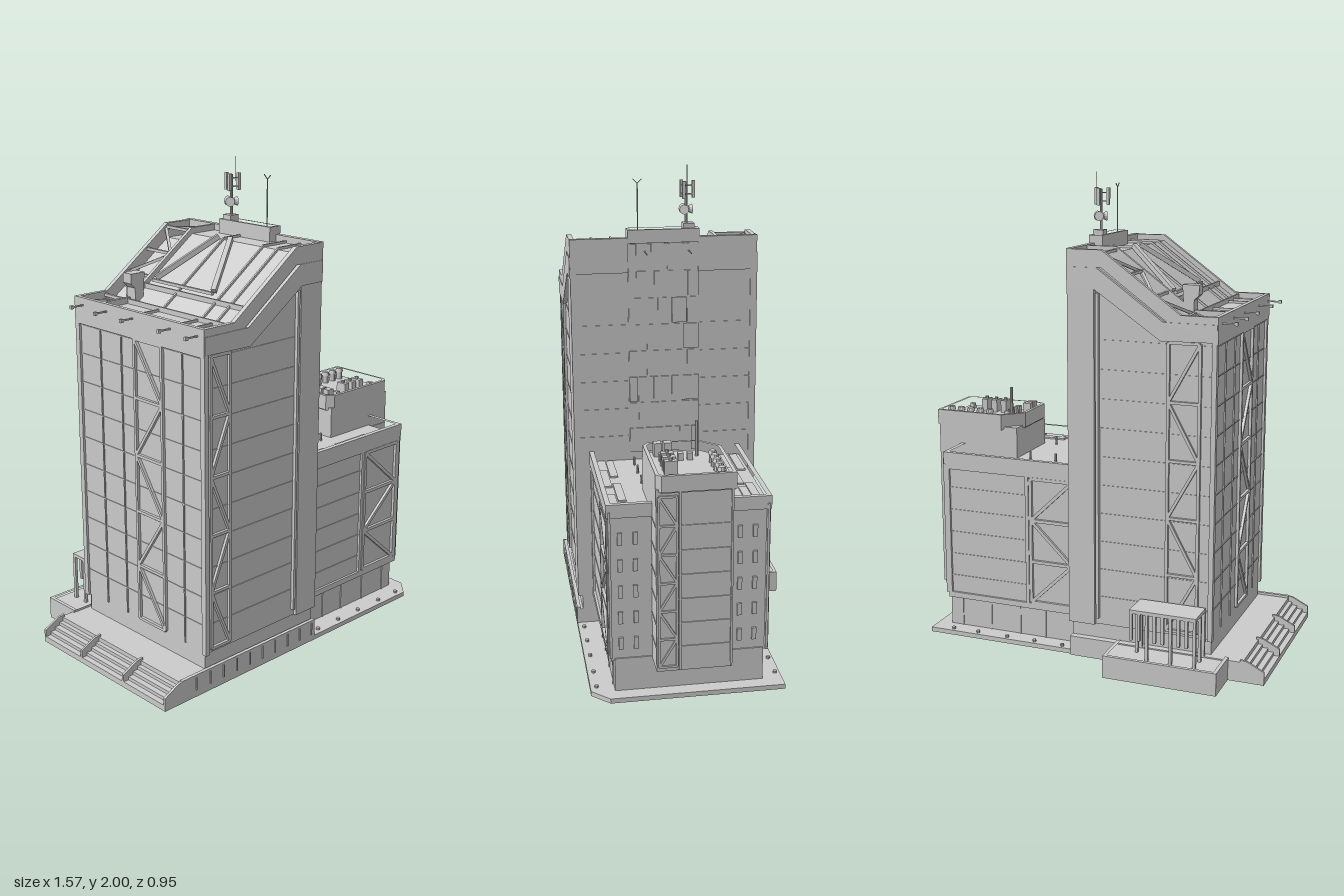
import * as THREE from 'three';

const mat = new THREE.MeshStandardMaterial({ color: 0xcccccc, flatShading: true });

export function createModel() {
  const model = new THREE.Group();
  let part = model;
  const begin = (name) => { part = new THREE.Group(); part.name = name; model.add(part); };
  const add = (name, geo) => {
    const m = new THREE.Mesh(geo, mat);
    m.name = name;
    part.add(m);
    return m;
  };
  // box given by its extents
  const box = (name, x0, x1, y0, y1, z0, z1) =>
    add(name, new THREE.BoxGeometry(x1 - x0, y1 - y0, z1 - z0))
      .position.set((x0 + x1) / 2, (y0 + y1) / 2, (z0 + z1) / 2);
  // square bar between two points
  const bar = (name, a, b, t = 0.01) => {
    const p = new THREE.Vector3(...a), q = new THREE.Vector3(...b);
    const m = add(name, new THREE.BoxGeometry(t, t, p.distanceTo(q)));
    m.position.copy(p).add(q).multiplyScalar(0.5);
    m.lookAt(q);
  };
  const cyl = (name, x, y0, y1, z, r, r2 = r, n = 8) =>
    add(name, new THREE.CylinderGeometry(r2, r, y1 - y0, n)).position.set(x, (y0 + y1) / 2, z);
  // front-view polygon extruded from z0 to z1
  const slab = (name, pts, z0, z1) =>
    add(name, new THREE.ExtrudeGeometry(new THREE.Shape(pts.map((p) => new THREE.Vector2(...p))),
      { depth: z1 - z0, bevelEnabled: false })).position.z = z0;
  // plan polygon (x, z) extruded from y0 to y1, with optional hole
  const plan = (name, pts, y0, y1, hole) => {
    const vec = (l) => l.map(([x, z]) => new THREE.Vector2(x, -z));
    const s = new THREE.Shape(vec(pts));
    if (hole) s.holes.push(new THREE.Path(vec(hole)));
    const g = new THREE.ExtrudeGeometry(s, { depth: y1 - y0, bevelEnabled: false });
    add(name, g.rotateX(-Math.PI / 2)).position.y = y0;
  };
  const rect = (x0, x1, z0, z1) => [[x0, z0], [x1, z0], [x1, z1], [x0, z1]];
  // zigzag truss: at(u, y) maps width and height to a point
  const truss = (name, at, u0, u1, y0, y1, n, t = 0.012) => {
    const h = (y1 - y0) / n;
    for (const u of [u0, u1]) bar(name, at(u, y0), at(u, y1), t);
    for (let i = 0; i <= n; i++) {
      const y = y0 + i * h;
      bar(name, at(u0, y), at(u1, y), t);
      if (i < n) bar(name, at(i % 2 ? u1 : u0, y + h), at(i % 2 ? u0 : u1, y), t);
    }
  };

  // ground plate, terrace, steps and rear annex
  begin('base');
  plan('groundPlate', [[-0.7, -0.3], [0.72, -0.3], [0.72, 0.4], [0.65, 0.47], [-0.7, 0.47]], 0, 0.02);
  box('terrace', -0.7, 0.05, 0, 0.085, -0.31, 0.47);
  box('terraceCurb', -0.7, 0.05, 0.085, 0.095, 0.455, 0.47);
  for (let i = 0; i < 4; i++) box('step', -0.79 + i * 0.024, -0.69, 0, 0.025 + i * 0.014, -0.3, 0.46);
  for (const z of [-0.31, -0.06, 0.21, 0.46])
    slab('stepCheek', [[-0.79, 0], [-0.69, 0], [-0.69, 0.095], [-0.72, 0.09], [-0.79, 0.055]], z, z + 0.01);
  box('annexDeck', -0.64, -0.16, 0, 0.08, -0.475, -0.3);
  plan('annexCurb', rect(-0.64, -0.16, -0.475, -0.3), 0.08, 0.095, rect(-0.625, -0.175, -0.46, -0.3));
  for (let x = -0.63; x < 0.04; x += 0.073) box('terraceRib', x, x + 0.005, 0.03, 0.085, 0.47, 0.474);
  for (const x of [0.1, 0.23, 0.36, 0.5, 0.62]) for (const z of [-0.28, 0.445]) cyl('groundLight', x, 0.02, 0.03, z, 0.008);

  // entrance shelter behind the tower
  begin('shelter');
  box('shelterRoof', -0.54, -0.26, 0.275, 0.29, -0.43, -0.3);
  for (let i = 0; i < 9; i++) {
    const x = -0.54 + i * 0.0335;
    box('shelterFin', x, x + 0.012, i % 3 ? 0.16 : 0.08, 0.275, -0.43, -0.415);
  }
  for (const x of [-0.54, -0.272]) for (const z of [-0.36, -0.31]) box('shelterPost', x, x + 0.012, 0.08, 0.275, z, z + 0.012);

  // recessed podium
  begin('podium');
  box('towerPodium', -0.56, 0.05, 0.08, 0.16, -0.28, 0.445);
  box('wingPodium', 0.04, 0.66, 0.02, 0.16, -0.22, 0.375);
  for (const x of [0.2, 0.32, 0.46, 0.6]) for (const z of [-0.224, 0.374]) box('podiumRib', x, x + 0.006, 0.02, 0.15, z, z + 0.005);

  // tower body with sloping top
  begin('tower');
  const profile = [[-0.57, 1.47], [-0.42, 1.47], [-0.09, 1.71], [0.055, 1.71]];
  const lowered = (d) => profile.map(([x, y]) => [x, y - d]);
  const roofY = (x) => 1.47 + 0.24 * Math.min(1, Math.max(0, (x + 0.42) / 0.33));
  const body = (d) => [[-0.56, 0.15], [0.05, 0.15], [0.05, 1.71 - d], ...lowered(d).slice(1, 3).reverse(), [-0.56, 1.47 - d]];
  slab('mainBody', body(0.025), -0.14, 0.45);
  slab('rearBody', body(0.06), -0.29, -0.14);
  const strip = (a, b) => [...lowered(b), ...lowered(a).reverse()];
  for (const [z0, z1] of [[0.445, 0.465], [-0.305, -0.285], [-0.145, -0.13]])
    slab('roofParapet', strip(0, 0.07), z0, z1);
  for (const [z0, z1] of [[0.44, 0.468], [-0.308, -0.28]]) {
    slab('fasciaBand', [[-0.57, 1.37], [-0.34, 1.365], [-0.06, 1.555], [0.055, 1.555],
      [0.055, 1.64], [-0.07, 1.64], [-0.35, 1.44], [-0.57, 1.44]], z0, z1);
    box('cornerPier', -0.06, 0.055, 0.15, 1.57, z0, z1 - (z0 > 0 ? 0.004 : 0));
    box('pierFin', -0.078, -0.066, 0.18, 1.54, z0, z1 - 0.004);
    box('edgePost', -0.57, -0.55, 0.15, 1.4, z0, z1 - 0.004);
  }
  box('leftParapet', -0.573, -0.555, 1.36, 1.47, -0.305, 0.465);
  for (const [z0, z1] of [[-0.305, -0.06], [0.23, 0.465]]) box('rightParapet', 0.035, 0.058, 1.57, 1.712, z0, z1);
  // floor and panel joints
  for (let i = 0; i < 10; i++) {
    const y = 0.27 + i * 0.12;
    const x1 = Math.min(-0.08, 0.04);
    box('floorJointFront', -0.55, x1, y, y + 0.004, 0.45, 0.453);
    box('floorJointRear', -0.55, x1, y, y + 0.004, -0.293, -0.29);
    box('floorJointLeft', -0.563, -0.56, y, y + 0.004, -0.28, 0.44);
    if (y > 0.8) for (const [z0, z1] of [[-0.28, -0.07], [0.235, 0.44]]) box('floorJointRight', 0.05, 0.053, y, y + 0.004, z0, z1);
  }
  for (const z of [-0.16, -0.03, 0.33]) box('sideMullion', -0.565, -0.56, 0.16, 1.37, z, z + 0.006);

  // exposed bracing on the tower faces
  begin('towerBracing');
  truss('frontBrace', (u, y) => [u, y, 0.456], -0.535, -0.435, 0.17, 1.36, 5);
  truss('rearBrace', (u, y) => [u, y, -0.296], -0.5, -0.37, 0.17, 1.36, 5);
  truss('leftBrace', (u, y) => [-0.566, y, u], 0.06, 0.22, 0.17, 1.36, 5);

  // stone-panelled core on the right face
  begin('panelCore');
  box('coreBack', 0, 0.052, 0.8, 1.7, -0.065, 0.23);
  plan('coreCap', rect(0, 0.06, -0.065, 0.23), 1.69, 1.745, rect(0.012, 0.048, -0.053, 0.218));
  let seed = 7;
  const rnd = () => (seed = (seed * 16807) % 2147483647) / 2147483647;
  for (let r = 0; r < 8; r++) {
    const y = 0.8 + r * 0.1115;
    for (let z = -0.065; z < 0.225;) {
      let end = z + 0.035 + rnd() * 0.045;
      if (end > 0.2) end = 0.23;
      box('stonePanel', 0.05, 0.054 + rnd() * 0.005, y, y + 0.106, z + 0.002, end - 0.002);
      z = end;
    }
  }

  // roof bracing and roof details
  begin('towerRoof');
  const onRoof = (x, z, d = 0) => [x, roofY(x) - d, z];
  const bays = [-0.56, -0.43, -0.31, -0.2, -0.09, 0.045];
  bays.forEach((x, i) => {
    bar('roofStrut', onRoof(x, -0.295, 0.015), onRoof(x, -0.14, 0.015), 0.012);
    if (i < 5) {
      const e = bays[i + 1], f = i % 2;
      bar('roofDiagonal', onRoof(x, f ? -0.14 : -0.295, 0.02), onRoof(e, f ? -0.295 : -0.14, 0.02), 0.012);
    }
  });
  for (const z of [0.055, 0.28, 0.36]) slab('roofSeam', strip(0.015, 0.03), z, z + 0.008);
  for (const x of [-0.44, -0.35]) box('roofSeam', x, x + 0.008, roofY(x) - 0.03, roofY(x) - 0.005, -0.13, 0.445);
  for (const s of [-1, 1]) bar('roofTruss', onRoof(-0.32, 0.075 + s * 0.17, 0.005), onRoof(-0.1, 0.075 + s * 0.035, 0.005), 0.02);
  bar('roofTruss', onRoof(-0.33, -0.1, 0.005), onRoof(-0.33, 0.25, 0.005), 0.012);
  slab('ventHood', [[-0.425, 1.44], [-0.385, 1.44], [-0.375, 1.57], [-0.445, 1.57], [-0.445, 1.53], [-0.425, 1.51]], -0.15, -0.1);
  for (const z of [-0.25, -0.1, 0.06, 0.28, 0.43]) {
    bar('leftRod', [-0.56, 1.44, z], [-0.63, 1.44, z], 0.006);
    box('leftRodTip', -0.635, -0.622, 1.433, 1.447, z - 0.006, z + 0.006);
  }
  for (const z of [-0.02, 0.16]) bar('rightRod', [0.05, 1.655, z], [0.125, 1.655, z], 0.004);

  // antenna mast and whip
  begin('antenna');
  box('mastFoot', 0.005, 0.05, 1.7, 1.765, -0.045, 0);
  cyl('mast', 0.025, 1.75, 1.93, -0.015, 0.006);
  for (let i = 0; i < 3; i++) {
    const a = i * Math.PI * 2 / 3 + 0.5, x = 0.025 + Math.cos(a) * 0.03, z = -0.015 + Math.sin(a) * 0.03;
    box('antennaPanel', x - 0.006, x + 0.006, 1.865, 1.935, z - 0.006, z + 0.006);
    for (const y of [1.88, 1.915]) bar('antennaArm', [0.025, y, -0.015], [x, y, z], 0.005);
    const d = add('dish', new THREE.CylinderGeometry(0.02, 0.014, 0.014, 12).rotateX(Math.PI / 2));
    d.position.set(0.025 + Math.cos(a) * 0.017, 1.82, -0.015 + Math.sin(a) * 0.017);
    d.rotation.y = Math.PI / 2 - a;
  }
  cyl('mastTip', 0.045, 1.9, 2, -0.015, 0.0015);
  cyl('whip', 0.03, 1.73, 1.93, 0.185, 0.0025);
  for (const s of [-1, 1]) bar('whipFork', [0.03, 1.928, 0.185], [0.03, 1.945, 0.185 + s * 0.018], 0.003);

  // low wing
  begin('wing');
  box('wingBody', 0.05, 0.655, 0.15, 0.765, -0.23, 0.39);
  plan('wingParapet', rect(0.05, 0.67, -0.242, 0.402), 0.755, 0.81, rect(0.05, 0.65, -0.222, 0.382));
  for (const s of [0, 1]) {
    const z0 = s ? 0.388 : -0.24, z1 = s ? 0.4 : -0.228;
    box('wallFrame', 0.055, 0.66, 0.15, 0.175, z0, z1);
    box('wallFrame', 0.055, 0.66, 0.735, 0.765, z0, z1);
    for (const x of s ? [0.055, 0.41, 0.65] : [0.27, 0.645]) box('wallFrame', x, x + 0.015, 0.15, 0.76, z0, z1);
    for (let i = 1; i < 6; i++) box('wallJoint', s ? 0.06 : 0.27, s ? 0.41 : 0.65, 0.15 + i * 0.1, 0.154 + i * 0.1, s ? 0.39 : -0.233, s ? 0.393 : -0.23);
  }
  truss('frontBrace', (u, y) => [u, y, 0.395], 0.435, 0.645, 0.18, 0.73, 3, 0.014);
  truss('rearBrace', (u, y) => [u, y, -0.235], 0.07, 0.26, 0.18, 0.73, 3, 0.014);
  // end wall windows
  for (const z of [-0.19, -0.13, 0.28, 0.34]) {
    for (let i = 0; i < 5; i++) box('endWindow', 0.65, 0.664, 0.2 + i * 0.11, 0.25 + i * 0.11, z, z + 0.018);
  }
  for (const z of [-0.235, 0.385]) box('endPost', 0.65, 0.675, 0.17, 0.78, z, z + 0.01);
  for (const [x0, x1, z] of [[0.07, 0.26, -0.225], [0.23, 0.42, -0.185], [0.46, 0.645, -0.185], [0.42, 0.64, -0.22],
    [0.07, 0.26, 0.305], [0.18, 0.37, 0.342], [0.34, 0.53, 0.305], [0.46, 0.645, 0.342]])
    box('skylight', x0, x1, 0.76, 0.772, z, z + 0.032);
  for (const x of [0.12, 0.22, 0.34]) for (const z of [-0.06, 0.22]) cyl('roofPost', x, 0.76, 0.8, z, 0.005);

  // service tower at the wing's end
  begin('serviceTower');
  box('serviceBody', 0.4, 0.77, 0.15, 0.9, -0.07, 0.225);
  const cap = (d) => [[0.47 + d / 2, -0.08 + d], [0.78 - d, -0.08 + d], [0.78 - d, 0.205 - d / 2], [0.76 - d / 2, 0.225 - d],
    [0.42 + d / 2, 0.225 - d], [0.39 + d, 0.2 - d / 2], [0.39 + d, 0 + d / 2]];
  plan('capFloor', cap(0.005), 0.885, 0.915);
  plan('capParapet', cap(0), 0.89, 0.955, cap(0.014));
  truss('serviceBrace', (u, y) => [0.772, y, u], 0.145, 0.215, 0.17, 0.87, 6, 0.009);
  for (let i = 1; i < 7; i++) {
    box('serviceJoint', 0.77, 0.774, 0.15 + i * 0.1, 0.154 + i * 0.1, -0.07, 0.14);
    box('serviceJointFront', 0.66, 0.77, 0.15 + i * 0.1, 0.154 + i * 0.1, 0.225, 0.228);
  }
  for (const z of [-0.07, 0.13]) box('serviceRib', 0.77, 0.778, 0.155, 0.89, z, z + 0.008);
  // rooftop equipment
  for (let i = 0; i < 5; i++) {
    cyl('fan', 0.548 + i * 0.047, 0.91, 0.95, -0.03, 0.014, 0.014, 10);
    cyl('fanCowl', 0.548 + i * 0.047, 0.95, 0.965, -0.03, 0.018, 0.014, 10);
  }
  for (let i = 0; i < 3; i++) {
    box('coolingUnit', 0.545 + i * 0.047, 0.572 + i * 0.047, 0.91, 0.97, 0.125, 0.175);
    cyl('coolingPipe', 0.558 + i * 0.047, 0.97, 0.98, 0.15, 0.008);
  }
  for (let i = 0; i < 4; i++) box('ventBox', 0.49, 0.512, 0.91, 0.945, 0.04 + i * 0.037, 0.062 + i * 0.037);
  for (const z of [0.115, 0.155]) box('hatch', 0.42, 0.455, 0.91, 0.97, z, z + 0.03);
  box('hatch', 0.72, 0.74, 0.91, 0.94, 0.15, 0.17);
  cyl('chimneyPipe', 0.464, 0.91, 1.06, 0.017, 0.007);

  return model;
}
